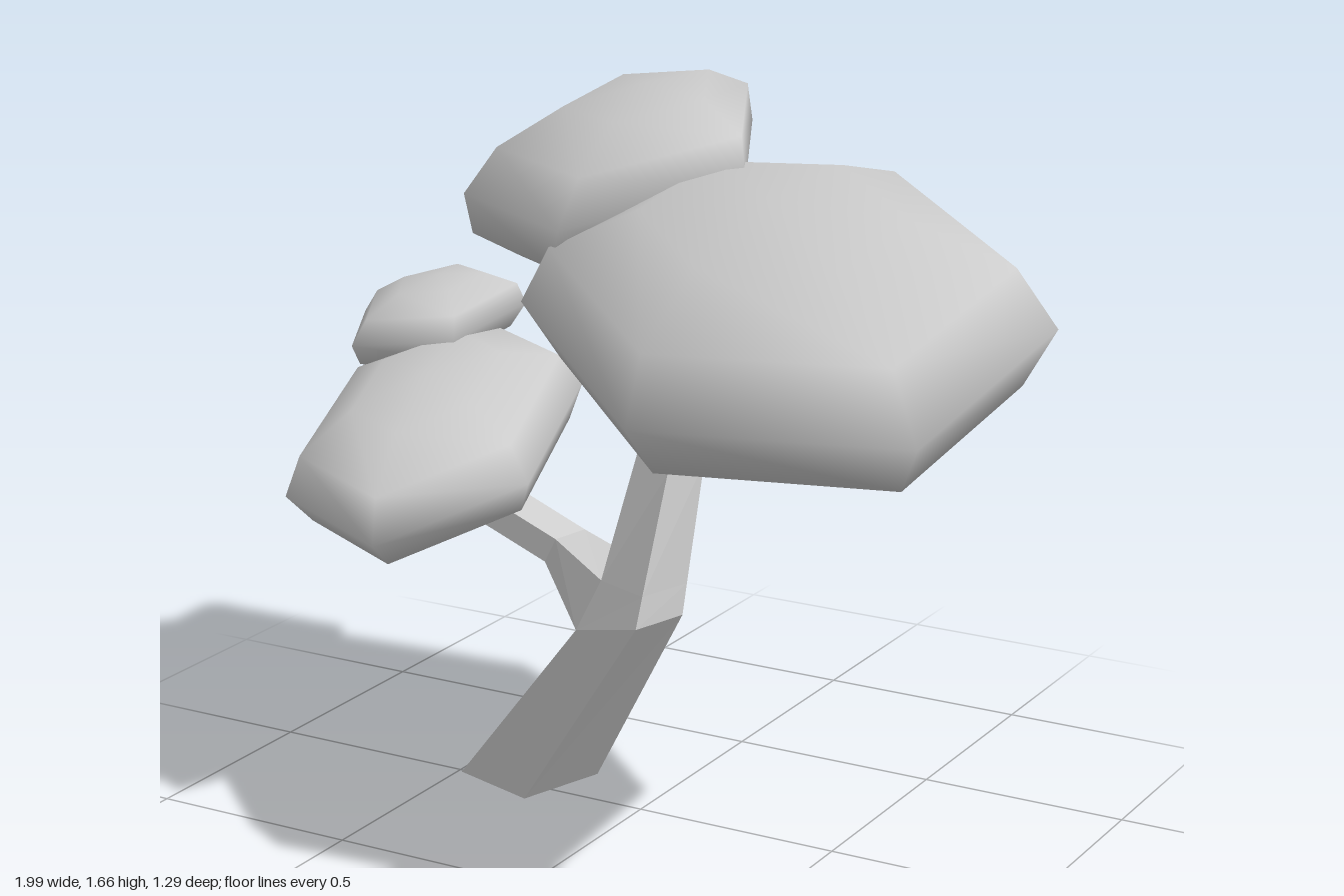
import * as THREE from 'three';

const bark = new THREE.MeshStandardMaterial({ color: 0xcccccc, flatShading: true });
const leaf = new THREE.MeshStandardMaterial({ color: 0xcccccc });

// Closed four-sided limb through a list of cross-sections (corners counter-clockwise seen from the tip)
function limb(name, sections) {
  const index = [];
  for (let s = 0; s < sections.length - 1; s++) {
    for (let i = 0; i < 4; i++) {
      const a = s * 4 + i, b = s * 4 + (i + 1) % 4;
      index.push(a, b, b + 4, a, b + 4, a + 4);
    }
  }
  const t = (sections.length - 1) * 4;
  index.push(0, 2, 1, 0, 3, 2, t, t + 1, t + 2, t, t + 2, t + 3);
  const geo = new THREE.BufferGeometry();
  geo.setAttribute('position', new THREE.Float32BufferAttribute(sections.flat(2), 3));
  geo.setIndex(index);
  const flat = geo.toNonIndexed();
  flat.computeVertexNormals();
  const mesh = new THREE.Mesh(flat, bark);
  mesh.name = name;
  return mesh;
}

// Few-sided sphere stretched onto two equator axes (u, v) and a pole axis (w)
function crown(name, sides, centre, u, v, w) {
  const V = (a) => new THREE.Vector3(...a);
  const m = new THREE.Matrix4().makeBasis(V(u).negate(), V(w), V(v)).setPosition(V(centre));
  const mesh = new THREE.Mesh(new THREE.SphereGeometry(1, sides, 6).applyMatrix4(m), leaf);
  mesh.name = name;
  return mesh;
}

const shifted = (section, d) => section.map((p) => p.map((c, i) => c + d[i]));

export function createModel() {
  const tree = new THREE.Group();
  tree.name = 'tree';

  // Bent trunk: corners run left, front, right, back
  const bend = [[-0.03, 0.86, -0.04], [0.07, 0.83, 0], [0.11, 0.84, -0.1], [0.01, 0.86, -0.14]];
  tree.add(limb('trunk', [
    [[-0.49, 0, 0.01], [-0.27, 0, 0.08], [-0.2, 0, -0.14], [-0.42, 0, -0.21]],
    [[-0.12, 0.45, 0.09], [0.07, 0.5, 0.145], [0.11, 0.5, 0], [-0.04, 0.45, -0.06]],
    [[-0.07, 0.57, 0.06], [0.07, 0.57, 0.115], [0.11, 0.57, -0.02], [-0.02, 0.57, -0.08]],
    bend,
    shifted(bend, [0.14, 0.14, 0.14]),
  ]));

  // Side branch grows out of the trunk's left face
  const elbow = [[-0.28, 0.54, -0.17], [-0.3, 0.54, -0.07], [-0.27, 0.6, -0.07], [-0.25, 0.6, -0.17]];
  tree.add(limb('branch', [
    [[-0.04, 0.45, -0.06], [-0.12, 0.45, 0.09], [-0.07, 0.57, 0.06], [-0.02, 0.57, -0.08]],
    elbow,
    shifted(elbow, [-0.19, 0.12, 0.07]),
  ]));

  // Foliage
  tree.add(
    crown('mainCrown', 6, [0.35, 1.235, 0], [0.62, -0.065, 0.6], [0.381, 0.084, -0.393], [0, 0.268, 0.05]),
    crown('upperCrown', 5, [-0.236, 1.44, -0.316], [-0.288, 0.017, -0.323], [-0.271, -0.077, 0.247], [0.05, 0.205, -0.03]),
    crown('lowerCrown', 6, [-0.563, 0.82, -0.02], [0.145, -0.11, 0.49], [0.32, 0.04, -0.098], [0, 0.168, 0.045]),
    crown('smallCrown', 5, [-0.776, 1.015, -0.336], [-0.056, 0.02, -0.254], [-0.217, -0.027, 0.048], [0.02, 0.11, 0]),
  );
  return tree;
}
